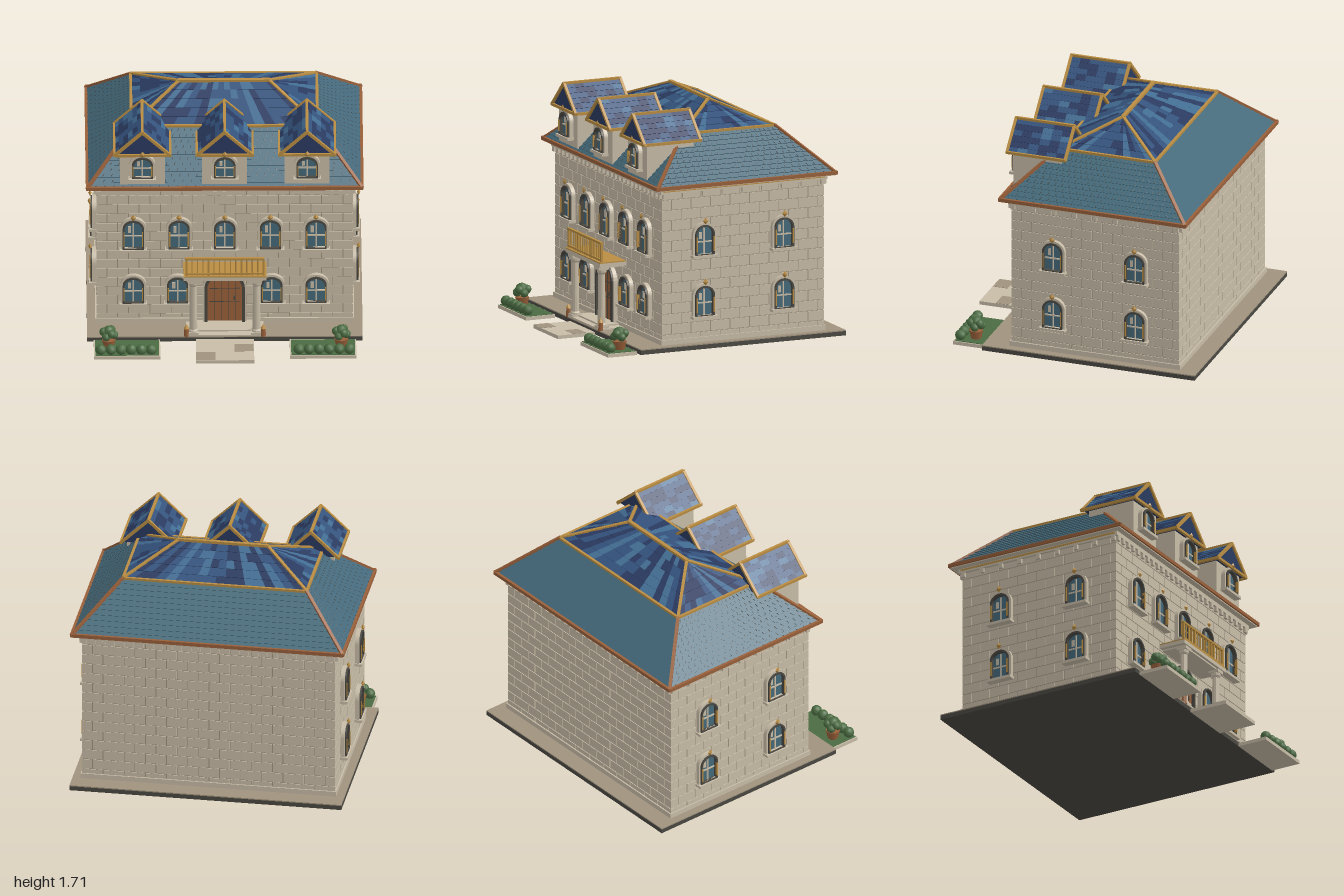
import * as THREE from 'three';
import { mergeGeometries } from 'three/addons/utils/BufferGeometryUtils.js';

const mat = (name, color) => Object.assign(new THREE.MeshStandardMaterial({ color }), { name });
const V = (x, y, z) => new THREE.Vector3(x, y, z);
const ZC = -0.178; // centre line of the house in z

// seeded random numbers
let seed = 7;
const rand = () => (seed = (seed * 16807) % 2147483647) / 2147483647;

// box given by its centre in x and z, and its bottom in y
const box = (w, h, d, x, y, z) => new THREE.BoxGeometry(w, h, d).translate(x, y + h / 2, z);

// square bar between two points
function bar(a, b, t) {
  const m = new THREE.Matrix4().lookAt(a, b, V(0, 1, 0)).setPosition(a.clone().lerp(b, 0.5));
  return new THREE.BoxGeometry(t, t, a.distanceTo(b) + t * 0.6).applyMatrix4(m);
}

function add(parent, name, geos, material) {
  const parts = [].concat(geos).map((g) => {
    const n = g.index ? g.toNonIndexed() : g;
    n.deleteAttribute('uv');
    return n;
  });
  const mesh = new THREE.Mesh(mergeGeometries(parts), material);
  mesh.name = name;
  parent.add(mesh);
  return mesh;
}

function group(parent, name, x = 0, y = 0, z = 0, ry = 0) {
  const g = new THREE.Group();
  g.name = name;
  g.position.set(x, y, z);
  g.rotation.y = ry;
  parent.add(g);
  return g;
}

// arched outline, and solids made from it
function arch(w, h, r, y = 0) {
  const s = new THREE.Shape();
  s.moveTo(-w / 2, y).lineTo(w / 2, y).lineTo(w / 2, h - r);
  s.absellipse(0, h - r, w / 2, r, 0, Math.PI);
  s.closePath();
  return s;
}
const solid = (s, depth) => new THREE.ExtrudeGeometry(s, { depth, bevelEnabled: false, curveSegments: 10 });
function archRing(w, h, r, t, depth) {
  const s = arch(w + 2 * t, h + t, r + t, -t);
  s.holes.push(arch(w, h, r));
  return solid(s, depth);
}

// courses of tiles on the four-cornered face A B C D (bottom left, bottom right, top right, top left)
function tiles(parent, name, [A, B, C, D], cols, rows, mats, pick, lift) {
  const n = B.clone().sub(A).cross(D.clone().sub(A)).normalize();
  const P = (u, v, l) => A.clone().lerp(B, u).lerp(D.clone().lerp(C, u), v).addScaledVector(n, l);
  const pos = mats.map(() => []);
  const quad = (k, a, b, c, d) => [a, b, c, a, c, d].forEach((p) => pos[k].push(p.x, p.y, p.z));
  for (let r = 0; r < rows; r++) for (let c = 0; c < cols; c++) {
    const [u0, u1, v0, v1] = [c / cols, (c + 1) / cols, r / rows, (r + 1) / rows];
    const k = pick(r, c);
    quad(k, P(u0, v0, lift), P(u1, v0, lift), P(u1, v1, 0), P(u0, v1, 0));
    quad(k, P(u0, v0, 0), P(u1, v0, 0), P(u1, v0, lift), P(u0, v0, lift));
  }
  pos.forEach((p, k) => {
    if (!p.length) return;
    const g = new THREE.BufferGeometry().setAttribute('position', new THREE.Float32BufferAttribute(p, 3));
    g.computeVertexNormals();
    add(parent, name, g, mats[k]);
  });
}

export function createModel() {
  const model = new THREE.Group();
  model.name = 'house';
  const stone = mat('stone', 0xc8bca7), trim = mat('greyStone', 0xa0937e), dark = mat('darkSlate', 0x4a4842);
  const teal = mat('teal', 0x44697a), navy = mat('navyTile', 0x2a3a60), blue = mat('blueTile', 0x34527c);
  const light = mat('lightBlueTile', 0x426c92), gold = mat('gold', 0xb98d42), wood = mat('wood', 0x99603a);
  const green = mat('leafGreen', 0x4b6c42);
  const blues = [navy, blue, light];

  // ground slab, plinth and walls
  add(model, 'slab', box(1.99, 0.032, 1.63, 0, 0.008, -0.148), dark);
  add(model, 'slabTop', box(1.99, 0.008, 1.63, 0, 0.04, -0.148), trim);
  add(model, 'wallCore', box(1.838, 1.15, 1.274, 0, 0.045, ZC), trim);
  add(model, 'plinth', box(1.87, 0.04, 1.306, 0, 0.045, ZC), stone);
  const rowH = 0.0765, brickL = 0.155, gap = 0.006;
  [[0.925, 0.643], [0.643, 0.925], [0.925, 0.643], [0.643, 0.925]].forEach(([half, out], side) => {
    const wall = group(model, 'wall', 0, 0.048, ZC, side * Math.PI / 2);
    const bricks = [];
    for (let r = 0; r < 15; r++) for (let x = -half - (r % 2) * brickL / 2; x < half - 0.01; x += brickL) {
      const a = Math.max(x, -half), b = Math.min(x + brickL - gap, half);
      if (b - a > 0.01) bricks.push(box(b - a, rowH - gap, 0.015, (a + b) / 2, r * rowH, out - 0.0075));
    }
    add(wall, 'bricks', bricks, stone);
    // cornice with brackets
    const brackets = [box(2 * half + 0.04, 0.035, 0.03, 0, 1.115, out + 0.005)];
    const count = side % 2 ? 9 : 27;
    for (let i = 0; i < count; i++) {
      brackets.push(box(0.03, 0.035, 0.022, (i / (count - 1) - 0.5) * (2 * half - 0.03), 1.08, out + 0.01));
    }
    add(wall, 'cornice', brackets, stone);
    if (side % 2) add(wall, 'corniceBand', box(2 * half, 0.012, 0.012, 0, 1.13, out + 0.017), gold);
  });

  // arched window facing +z, origin at the bottom middle of the opening
  function windowAt(x, y, z, h, ry, diamond = true) {
    const g = group(model, 'window', x, y, z, ry), w = 0.125, r = 0.055;
    add(g, 'surround', [archRing(w + 0.028, h + 0.014, r + 0.014, 0.016, 0.03), box(0.2, 0.02, 0.055, 0, -0.026, 0.027)], stone);
    add(g, 'frame', archRing(w, h, r, 0.014, 0.042), dark);
    add(g, 'glass', solid(arch(w, h, r), 0.012), teal);
    add(g, 'glazingBars', [box(0.01, h - 0.01, 0.008, 0, 0, 0.016), box(w, 0.01, 0.008, 0, h * 0.42, 0.016),
      box(0.022, h * 0.25, 0.005, -0.028, h * 0.55, 0.014)], stone);
    add(g, 'sideStrips', [-1, 1].map((s) => box(0.009, h * 0.55, 0.02, s * 0.067, h * 0.1, 0.038)), gold);
    if (diamond) add(g, 'diamond', new THREE.OctahedronGeometry(0.026).scale(0.85, 1, 0.5).translate(0, h + 0.045, 0.045), gold);
  }
  for (const x of [-0.66, -0.33, 0, 0.33, 0.66]) windowAt(x, 0.69, 0.465, 0.22, 0);
  for (const x of [-0.66, -0.34, 0.34, 0.66]) windowAt(x, 0.235, 0.465, 0.195, 0, false);
  for (const s of [-1, 1]) for (const z of [0.14, -0.49]) for (const y of [0.25, 0.7]) windowAt(s * 0.925, y, z, 0.2, s * Math.PI / 2);

  // door
  const door = group(model, 'door', 0, 0.07, 0.465);
  add(door, 'surround', archRing(0.29, 0.415, 0.13, 0.012, 0.03), stone);
  add(door, 'frame', archRing(0.25, 0.395, 0.11, 0.02, 0.04), dark);
  add(door, 'leaf', solid(arch(0.25, 0.395, 0.11), 0.018), wood);
  add(door, 'joints', [-0.075, -0.025, 0.025, 0.075].map((x) => box(0.004, 0.36, 0.004, x, 0, 0.019))
    .concat([0.16, 0.27].map((y) => box(0.22, 0.006, 0.004, 0, y, 0.019)), box(0.012, 0.03, 0.012, 0.07, 0.18, 0.022)), dark);

  // steps, path, portico and balcony
  add(model, 'steps', [box(0.56, 0.014, 0.2, 0, 0.045, 0.565), box(0.4, 0.014, 0.15, 0, 0.057, 0.54)], stone);
  add(model, 'path', box(0.42, 0.026, 0.295, 0, 0, 0.8175), stone);
  add(model, 'pathSlabs', [box(0.14, 0.003, 0.11, -0.14, 0.025, 0.905), box(0.14, 0.003, 0.1, 0.137, 0.025, 0.79)], trim);
  const column = [[0, 0], [0.036, 0], [0.036, 0.03], [0.029, 0.04], [0.025, 0.4], [0.034, 0.415], [0.036, 0.435], [0, 0.435]]
    .map(([r, y]) => new THREE.Vector2(r, y));
  for (const s of [-1, 1]) {
    const g = group(model, 'column', s * 0.228, 0.055, 0.625);
    const shaft = new THREE.LatheGeometry(column, 12).toNonIndexed();
    shaft.computeVertexNormals();
    add(g, 'shaft', [shaft, box(0.078, 0.02, 0.078, 0, 0, 0), box(0.078, 0.025, 0.078, 0, 0.435, 0)], stone);
    const lamp = group(model, 'lantern', s * 0.277, 0.045, 0.655);
    add(lamp, 'body', new THREE.CylinderGeometry(0.016, 0.02, 0.065, 8).translate(0, 0.032, 0), wood);
    add(lamp, 'cap', new THREE.ConeGeometry(0.02, 0.035, 8).translate(0, 0.082, 0), gold);
  }
  add(model, 'balconySlab', [box(0.6, 0.028, 0.205, 0, 0.518, 0.5675), box(0.54, 0.014, 0.18, 0, 0.506, 0.56)], stone);
  add(model, 'balconyFloor', box(0.6, 0.008, 0.205, 0, 0.546, 0.5675), gold);
  const rail = [box(0.575, 0.016, 0.022, 0, 0.685, 0.65), box(0.575, 0.014, 0.018, 0, 0.562, 0.65)];
  for (let i = 0; i <= 14; i++) {
    const t = i % 14 === 0 || i === 4 || i === 10 ? 0.016 : 0.009;
    rail.push(box(t, 0.135, t, -0.278 + i * 0.0397, 0.552, 0.65));
  }
  add(model, 'balconyRail', rail, gold);

  // gardens
  for (const s of [-1, 1]) {
    const g = group(model, 'garden', s * 0.7075, 0, 0.79);
    add(g, 'border', box(0.48, 0.026, 0.23, 0, 0, 0), stone);
    add(g, 'lawn', box(0.46, 0.006, 0.212, 0, 0.024, 0), green);
    const ball = (r, x, y, z) => new THREE.IcosahedronGeometry(r, 1).rotateY(x * 40).translate(x, y, z);
    const hedge = [];
    for (let i = 0; i < 6; i++) hedge.push(ball(0.04, s * (0.19 - i * 0.073), 0.06, 0.075));
    add(g, 'hedge', hedge, green);
    const px = s * 0.132, pz = -0.025;
    add(g, 'pot', new THREE.CylinderGeometry(0.052, 0.038, 0.065, 10).translate(px, 0.06, pz), wood);
    const bush = [ball(0.042, px, 0.155, pz)];
    for (let i = 0; i < 6; i++) {
      const a = i * Math.PI / 3;
      bush.push(ball(0.032, px + 0.037 * Math.cos(a), 0.125 + (i % 2) * 0.025, pz + 0.037 * Math.sin(a)));
    }
    add(g, 'bush', bush, green);
  }

  // main roof: lower teal skirt and upper blue hip
  const ring = (x, z, y) => [[-1, 1], [1, 1], [1, -1], [-1, -1]].map(([a, b]) => V(a * x, y, ZC + b * z));
  const eave = ring(0.99, 0.707, 1.215), mid = ring(0.672, 0.367, 1.535), ridge = ring(0.325, 0, 1.695);
  add(model, 'soffit', box(1.98, 0.012, 1.414, 0, 1.195, ZC), stone);
  for (let i = 0; i < 4; i++) {
    const j = (i + 1) % 4, wide = i % 2 === 0;
    const skirt = [eave[i], eave[j], mid[j], mid[i]];
    tiles(model, 'lowerRoof', skirt, 1, 11, [teal], () => 0, 0.006);
    // short dark joints between the tiles
    const across = skirt[1].clone().sub(skirt[0]), up = skirt[3].clone().sub(skirt[0]);
    const n = across.cross(up).normalize(), cols = wide ? 30 : 22, joints = [];
    for (let r = 0; r < 11 && i !== 2; r++) for (let c = 1; c < cols; c++) {
      const u = (c + (r % 2) * 0.5 - 0.25) / cols;
      const P = (v) => eave[i].clone().lerp(eave[j], u).lerp(mid[i].clone().lerp(mid[j], u), v).addScaledVector(n, 0.004);
      joints.push(bar(P((r + 0.1) / 11), P((r + 0.5) / 11), 0.0035));
    }
    if (joints.length) add(model, 'tileJoints', joints, dark);
    const cols2 = wide ? 18 : 12, tone = Array.from({ length: cols2 }, () => Math.floor(rand() * 2.7));
    tiles(model, 'upperRoof', [mid[i], mid[j], ridge[j], ridge[i]], cols2, 5, blues,
      (r, c) => (rand() < 0.25 ? Math.floor(rand() * 2.5) : tone[c]), 0.004);
    add(model, 'lowerRoofTrim', [bar(eave[i], eave[j], 0.026), bar(eave[i], mid[i], 0.024)], wood);
    add(model, 'upperRoofTrim', [bar(mid[i], mid[j], 0.02), bar(mid[i], ridge[i], 0.022)], gold);
  }
  add(model, 'ridgeCap', bar(ridge[0], ridge[1], 0.028), gold);

  // dormers
  for (const x of [-0.595, 0, 0.595]) {
    const g = group(model, 'dormer', x);
    add(g, 'body', box(0.325, 0.265, 0.37, 0, 1.24, 0.325), stone);
    const gable = new THREE.Shape([[-0.19, 1.505], [0.19, 1.505], [0, 1.69]].map(([a, b]) => new THREE.Vector2(a, b)));
    add(g, 'gable', solid(gable, 0.43).translate(0, 0, 0.11), navy);
    const F = [V(-0.2, 1.505, 0.545), V(0, 1.695, 0.545), V(0.2, 1.505, 0.545)];
    const B = F.map((p) => V(p.x, p.y, 0.1));
    const pick = () => Math.floor(rand() * 2.35);
    tiles(g, 'roof', [B[0], F[0], F[1], B[1]], 6, 6, blues, pick, 0.004);
    tiles(g, 'roof', [F[2], B[2], B[1], F[1]], 6, 6, blues, pick, 0.004);
    add(g, 'roofTrim', [[F[0], F[1]], [F[1], F[2]], [B[0], B[1]], [B[1], B[2]], [F[0], B[0]], [F[2], B[2]], [F[1], B[1]], [F[0], F[2]]]
      .map(([a, b]) => bar(a, b, 0.02)), gold);
    windowAt(x, 1.315, 0.51, 0.155, 0);
  }
  return model;
}
